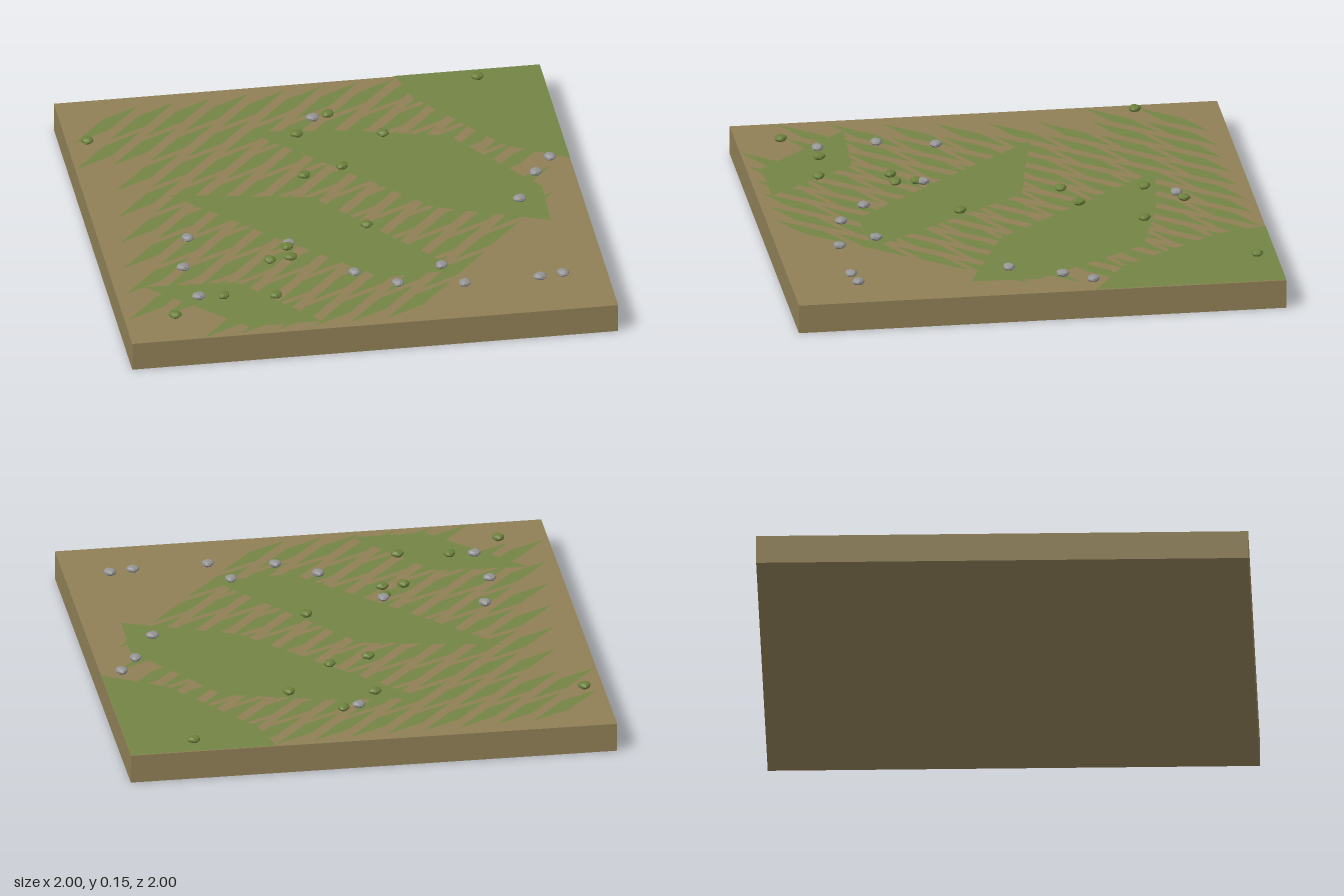
import * as THREE from 'three';

const mat = (name, color) => {
  const m = new THREE.MeshStandardMaterial({ color });
  m.name = name;
  return m;
};

const TOP = 0.12;

// Pebble positions on the ground, as [x, z]
const MOSSY = [
  [0.73, -0.92], [-0.92, -0.65], [0.08, -0.71], [-0.07, -0.57], [0.275, -0.52],
  [0.07, -0.28], [-0.095, -0.23], [0.09, 0.21], [-0.255, 0.34], [-0.255, 0.425],
  [-0.345, 0.435], [-0.575, 0.695], [-0.365, 0.725], [-0.795, 0.82],
];
const GREY = [
  [0.015, -0.69], [0.915, -0.22], [0.84, -0.105], [0.74, 0.1], [-0.645, 0.205],
  [-0.245, 0.315], [-0.7, 0.44], [-0.02, 0.59], [0.34, 0.59], [-0.675, 0.685],
  [0.14, 0.705], [0.41, 0.75], [0.72, 0.745], [0.815, 0.73],
];

// Outlines of the large grass patches, as [x, z]
const GRASS = [
  [[1, -1], [1, -0.22], [0.75, -0.37], [0.45, -0.81], [0.4, -1]],
  [[0.84, 0.27], [0.39, 0.09], [-0.26, -0.64], [0.14, -0.59], [0.54, -0.48], [0.85, -0.01]],
  [[0.41, 0.61], [0.09, 0.63], [-0.28, 0.24], [-0.66, -0.18], [-0.09, -0.07]],
  [[-0.21, 0.94], [-0.51, 0.94], [-0.88, 0.55], [-0.5, 0.57]],
];

// Slanting rows of thin grass streaks that break up the bare earth
function streakOutlines() {
  const [dx, dz] = [0.82, -0.57];
  const outlines = [];
  for (let row = -16; row <= 16; row++) {
    for (let col = -4; col <= 4; col++) {
      const u = col * 0.4 + (row * 0.13) % 0.4, v = row * 0.08;
      const outline = [[-0.2, 0.02], [0.02, -0.04], [0.2, -0.02], [-0.02, 0.04]].map(([a, b]) => [
        (u + a) * dx - (v + b) * dz,
        (u + a) * dz + (v + b) * dx,
      ]);
      const inside = outline.every(([x, z]) => Math.abs(x) < 1 && Math.abs(z) < 1 && x + z < 1.1);
      if (inside) outlines.push(outline);
    }
  }
  return outlines;
}

// Squashed, slightly lumpy stone
function pebbleGeometry(seed) {
  const geometry = new THREE.IcosahedronGeometry(0.027, 1);
  const p = geometry.attributes.position;
  const v = new THREE.Vector3();
  for (let i = 0; i < p.count; i++) {
    v.fromBufferAttribute(p, i);
    v.multiplyScalar(1 + 0.1 * Math.sin(v.x * 140 + seed) * Math.cos(v.z * 120 + v.y * 90 + seed));
    p.setXYZ(i, v.x, v.y, v.z);
  }
  geometry.scale(1, 0.55, 0.9).rotateY(seed * 2.1);
  geometry.computeVertexNormals();
  return geometry;
}

export function createModel() {
  const group = new THREE.Group();
  group.name = 'groundTile';
  const earth = mat('earth', 0x8f7f56);
  const grass = mat('grass', 0x748545);
  const moss = mat('moss', 0x6c803c);
  const stone = mat('stone', 0x949494);
  moss.flatShading = stone.flatShading = true;

  // Earth slab
  const slab = new THREE.Mesh(new THREE.BoxGeometry(2, TOP, 2), earth);
  slab.name = 'earthSlab';
  slab.position.y = TOP / 2;
  group.add(slab);

  // Flat grass just above the earth, the streaks a hair below the patches
  const addGrass = (name, outlines, height) => {
    const shapes = outlines.map((o) => new THREE.Shape(o.map(([x, z]) => new THREE.Vector2(x, -z))));
    const mesh = new THREE.Mesh(new THREE.ShapeGeometry(shapes).rotateX(-Math.PI / 2), grass);
    mesh.name = name;
    mesh.position.y = TOP + height;
    group.add(mesh);
  };
  addGrass('grassPatches', GRASS, 0.003);
  addGrass('grassStreaks', streakOutlines(), 0.0015);

  // Scattered pebbles, each shaped and turned differently
  const addPebbles = (name, spots, material) => {
    const set = new THREE.Group();
    set.name = name;
    spots.forEach(([x, z], i) => {
      const pebble = new THREE.Mesh(pebbleGeometry(i), material);
      pebble.name = 'pebble';
      pebble.position.set(x, TOP + 0.019, z);
      set.add(pebble);
    });
    group.add(set);
  };
  addPebbles('mossyPebbles', MOSSY, moss);
  addPebbles('greyPebbles', GREY, stone);

  return group;
}
